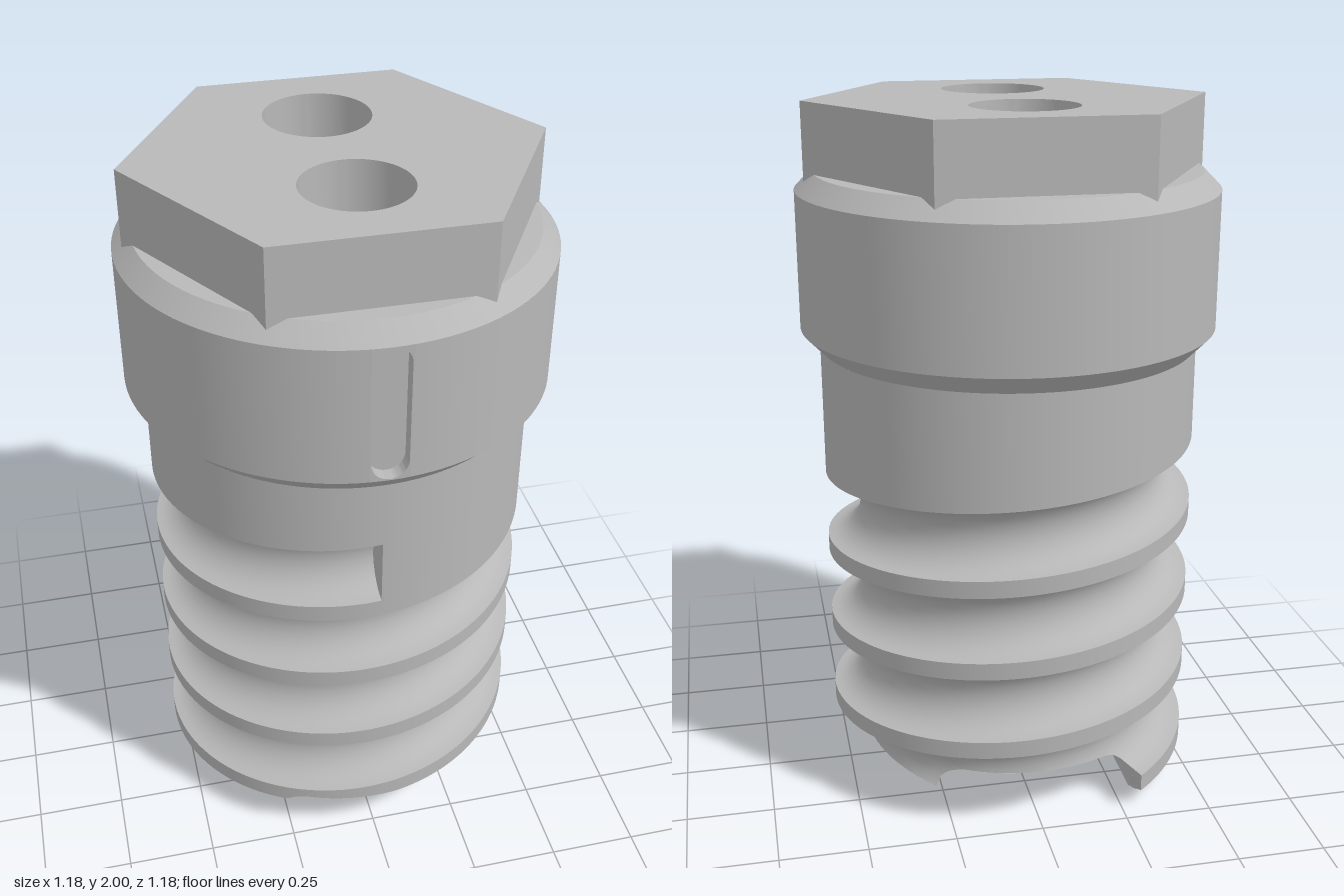
import * as THREE from 'three';
import { toCreasedNormals } from 'three/addons/utils/BufferGeometryUtils.js';

const TAU = Math.PI * 2;
const R = 0.537;         // shaft radius
const PITCH = 0.245;     // thread pitch
const GROOVE = 0.0975;   // radius of the round thread groove
const START = 1.028;     // height where the groove ends at the front
const FLOOR = 0.15;      // height of the slot floor under the shaft
const BORE = 0.147, BORE_Z = 0.22;

// Height of groove turn k at angle phi (phi = 0 is the front, range -TAU..0)
const grooveY = (phi, k) => START + PITCH * (phi / TAU - k);

// Shaft radius with the helical groove cut in
function radiusAt(phi, y) {
  for (let k = 0; k < 6; k++) {
    const d = y - grooveY(phi, k);
    if (Math.abs(d) < GROOVE) return R - Math.sqrt(GROOVE * GROOVE - d * d);
  }
  return R;
}

// Underside: tilted end plane with a round-cornered slot across it
function bottomAt(x) {
  const plane = 0.055 + 0.114 * x, a = Math.abs(x);
  if (a <= 0.2) return FLOOR;
  if (a < 0.29) return Math.max(plane, 0.06 + 0.09 * Math.sqrt(1 - ((a - 0.2) / 0.09) ** 2));
  return plane;
}

// Distance from the x axis to the rim at height y, toward front (1) or back (-1)
function rimZ(x, y, side) {
  let z = 0;
  for (; z < 0.6; z += 0.001) {
    let phi = Math.atan2(x, side * z);
    if (phi > 0) phi -= TAU;
    if (Math.hypot(x, z) > radiusAt(phi, y)) break;
  }
  return side * z;
}

// Surface through equal-length rows of points
function grid(rows) {
  const n = rows[0].length, index = [];
  for (let i = 0; i < rows.length - 1; i++) {
    for (let j = 0; j < n - 1; j++) {
      const a = i * n + j, b = a + n;
      index.push(a, a + 1, b + 1, a, b + 1, b);
    }
  }
  const g = new THREE.BufferGeometry();
  g.setAttribute('position', new THREE.Float32BufferAttribute(rows.flat(2), 3));
  g.setIndex(index);
  return toCreasedNormals(g, 0.6);
}

function threadedShaft() {
  const rows = [], cols = 288, arc = 14;
  for (let i = 0; i <= cols; i++) {
    const phi = -TAU + (TAU * i) / cols, s = Math.sin(phi), c = Math.cos(phi);
    let yb = 0.4;
    while (yb > bottomAt(radiusAt(phi, yb) * s)) yb -= 0.001;
    const row = [];
    const add = (r, y) => {
      if (y < yb) { y = yb; r = radiusAt(phi, yb); }
      row.push([r * s, y, r * c]);
    };
    add(R, 1.32);
    for (let k = 0; k < 5; k++) {
      for (let j = 0; j <= arc; j++) {
        const t = (Math.PI * j) / arc;
        add(R - GROOVE * Math.sin(t), grooveY(phi, k) + GROOVE * Math.cos(t));
      }
    }
    add(R, -0.4);
    rows.push(row);
  }
  return grid(rows);
}

// Underside of one leg, including its rounded inner wall
function legBottom(side) {
  const xs = [];
  for (let i = 0; i <= 12; i++) xs.push(0.2 + 0.09 * Math.sin((i / 12) * Math.PI / 2) - (i === 12 ? 1e-6 : 0));
  for (let i = 0; i <= 50; i++) xs.push(0.29 + i * 0.004);
  const rows = xs.map((a) => {
    const x = a * side, y = bottomAt(x);
    return [[x, y, rimZ(x, y, 1)], [x, y, rimZ(x, y, -1)]];
  });
  return grid(side > 0 ? rows : rows.reverse());
}

function addBores(shape) {
  for (const s of [-1, 1]) {
    shape.holes.push(new THREE.Path().absarc(0, s * BORE_Z, BORE, 0, TAU, true));
  }
  return shape;
}

// Flat floor of the slot between the legs
function slotFloor() {
  const pts = [];
  for (let i = 0; i <= 16; i++) {
    const x = -0.2 + i * 0.025;
    pts.push(new THREE.Vector2(x, rimZ(x, FLOOR, -1)));
  }
  for (let i = 16; i >= 0; i--) {
    const x = -0.2 + i * 0.025;
    pts.push(new THREE.Vector2(x, rimZ(x, FLOOR, 1)));
  }
  return new THREE.ShapeGeometry(addBores(new THREE.Shape(pts)), 48)
    .rotateX(Math.PI / 2).translate(0, FLOOR, 0);
}

function hexHead() {
  const pts = [];
  for (let i = 0; i < 6; i++) {
    pts.push(new THREE.Vector2(0.564 * Math.cos(i * TAU / 6), 0.564 * Math.sin(i * TAU / 6)));
  }
  const g = new THREE.ExtrudeGeometry(addBores(new THREE.Shape(pts)),
    { depth: 0.215, bevelEnabled: false, curveSegments: 48 });
  return toCreasedNormals(g.rotateX(-Math.PI / 2).translate(0, 1.785, 0), 0.6);
}

function lathe(points, gap = 0) {
  const g = new THREE.LatheGeometry(points.map((p) => new THREE.Vector2(...p)), 128, gap, TAU - 2 * gap);
  return toCreasedNormals(g, 0.6);
}

// Front strip of the collar with a rounded recess
function recessFrame(w, front, depth) {
  const y0 = 1.375, y1 = 1.76, r = 0.049;
  const shape = new THREE.Shape([[-w, y0], [w, y0], [w, y1], [-w, y1]].map((p) => new THREE.Vector2(...p)));
  const pill = new THREE.Path();
  pill.absarc(0, y1 - 0.002 - r, r, 0, Math.PI, false);
  pill.absarc(0, y0 + 0.002 + r, r, Math.PI, TAU, false);
  shape.holes.push(pill);
  const g = new THREE.ExtrudeGeometry(shape, { depth, bevelEnabled: false, curveSegments: 16 });
  return toCreasedNormals(g.translate(0, 0, front - depth), 0.6);
}

export function createModel() {
  const group = new THREE.Group();
  const steel = new THREE.MeshStandardMaterial({ color: 0xb8b8b8, side: THREE.DoubleSide });
  steel.name = 'grey steel';
  const add = (name, geometry) => {
    const mesh = new THREE.Mesh(geometry, steel);
    mesh.name = name;
    group.add(mesh);
  };

  // Shaft and its underside
  add('threadedShaft', threadedShaft());
  add('threadEnd', new THREE.CircleGeometry(GROOVE, 24, Math.PI / 2, Math.PI)
    .rotateY(-Math.PI / 2).translate(0, START, R));
  add('slotFloor', slotFloor());
  add('leftLegBottom', legBottom(1));
  add('rightLegBottom', legBottom(-1));

  // Collar with chamfers and a recess at the front
  const w = 0.052, rc = 0.59, depth = 0.04;
  const front = Math.sqrt(rc * rc - w * w);
  add('collarLowerChamfer', lathe([[R, 1.32], [rc, 1.375]]));
  add('collarBand', lathe([[rc, 1.375], [rc, 1.76]], Math.asin(w / rc)));
  add('collarUpperChamfer', lathe([[rc, 1.76], [0.54, 1.81], [0.45, 1.81]]));
  add('recessFrame', recessFrame(w, front, depth));
  add('recessFloor', new THREE.PlaneGeometry(2 * w, 0.385).translate(0, 1.5675, front - depth));

  // Hexagonal head and the two through bores
  add('hexHead', hexHead());
  for (const s of [-1, 1]) {
    add(s > 0 ? 'frontBore' : 'backBore',
      new THREE.CylinderGeometry(BORE, BORE, 1.785 - FLOOR, 96, 1, true)
        .translate(0, (1.785 + FLOOR) / 2, s * BORE_Z));
  }
  return group;
}
